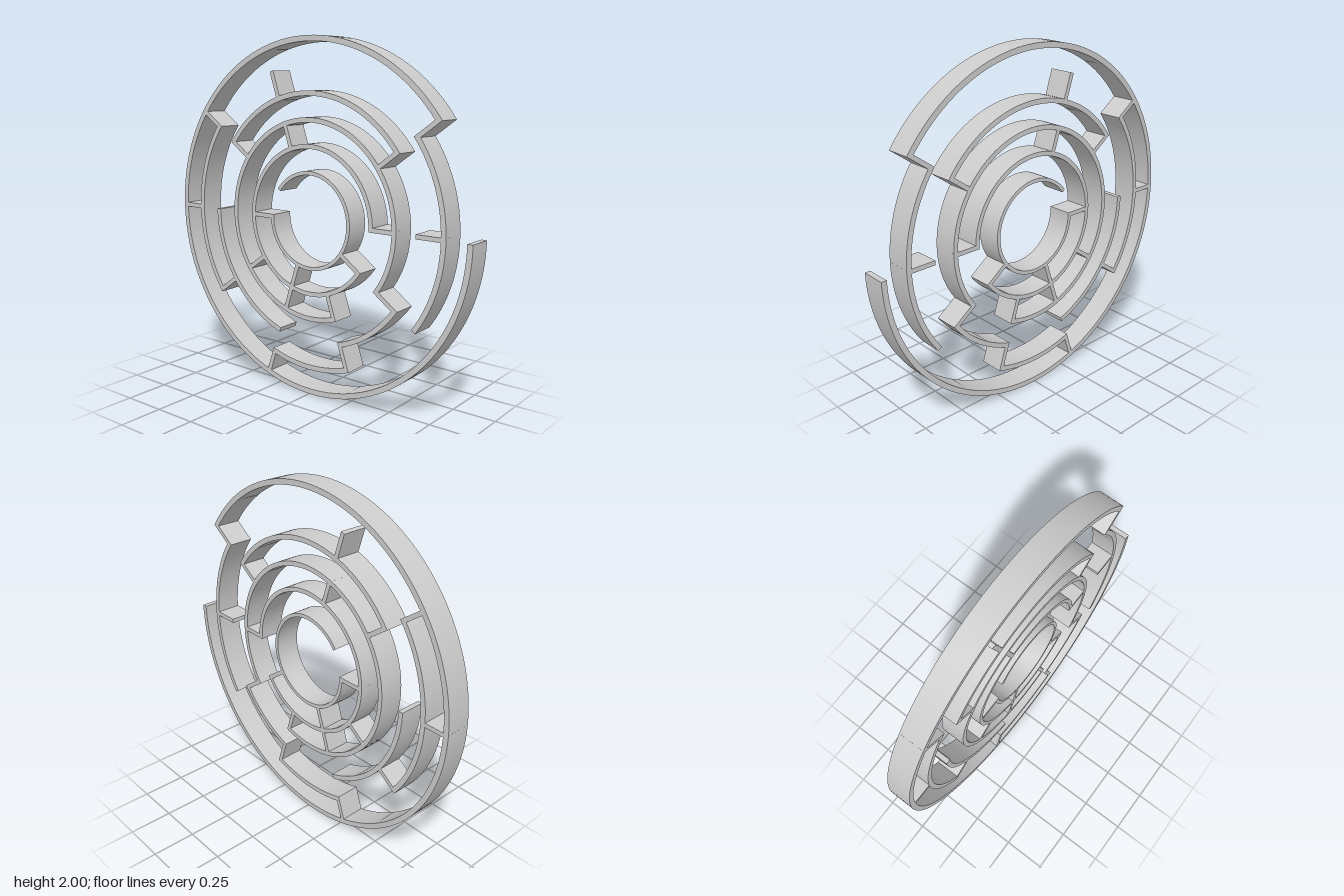
import * as THREE from 'three';
import { toCreasedNormals } from 'three/addons/utils/BufferGeometryUtils.js';

const DEPTH = 0.143;
const CELL = THREE.MathUtils.degToRad(36); // ten cells per ring

// Rings from the inside out: outer radius, thickness, arcs as [start, end] in cells
const RINGS = [
  { r: 0.277, t: 0.021, arcs: [[1, 10]] },
  { r: 0.424, t: 0.025, arcs: [[6, 15]] },
  { r: 0.568, t: 0.027, arcs: [[7, 16]] },
  { r: 0.711, t: 0.028, arcs: [[1, 4], [6, 7], [8, 10]] },
  { r: 0.855, t: 0.029, arcs: [[-1, 1], [4, 6], [7, 8]] },
  { r: 1.0, t: 0.031, arcs: [[5, 14]] },
];

// Radial walls in each gap between neighbouring rings, as cell angles
const WALLS = [
  [0, 6, 8],
  [2, 5, 7, 8, 9],
  [1, 4, 6],
  [2, 5, 7, 9],
  [0, 1, 4, 8],
];

function extrudeArc(outer, inner, start, end) {
  const a = start * CELL, b = end * CELL;
  const shape = new THREE.Shape();
  shape.absarc(0, 0, outer, a, b, false);
  shape.absarc(0, 0, inner, b, a, true);
  shape.closePath();
  const geo = new THREE.ExtrudeGeometry(shape, {
    depth: DEPTH, bevelEnabled: false, curveSegments: Math.round((end - start) * 8),
  });
  geo.translate(0, 0, -DEPTH / 2);
  return toCreasedNormals(geo, 0.5);
}

export function createModel() {
  const model = new THREE.Group();
  model.name = 'circularMaze';
  const material = new THREE.MeshStandardMaterial({ color: 0xcccccc });

  // The maze is laid out in the XY plane, then turned to face sideways
  const maze = new THREE.Group();
  maze.name = 'mazeWalls';
  maze.rotation.y = Math.PI / 2;
  maze.position.y = 1;
  model.add(maze);

  // Curved walls
  RINGS.forEach(({ r, t, arcs }, i) => {
    arcs.forEach(([start, end], k) => {
      const arc = new THREE.Mesh(extrudeArc(r, r - t, start, end), material);
      arc.name = `ring${i + 1}Arc${k + 1}`;
      maze.add(arc);
    });
  });

  // Straight walls, each reaching through both neighbouring rings
  WALLS.forEach((cells, i) => {
    const inner = RINGS[i].r - RINGS[i].t;
    const outer = RINGS[i + 1].r;
    cells.forEach((cell, k) => {
      const geo = new THREE.BoxGeometry(outer - inner, 0.025, DEPTH);
      geo.translate((inner + outer) / 2, 0, 0);
      const wall = new THREE.Mesh(geo, material);
      wall.rotation.z = cell * CELL;
      wall.name = `radialWall${i + 1}_${k + 1}`;
      maze.add(wall);
    });
  });

  return model;
}
